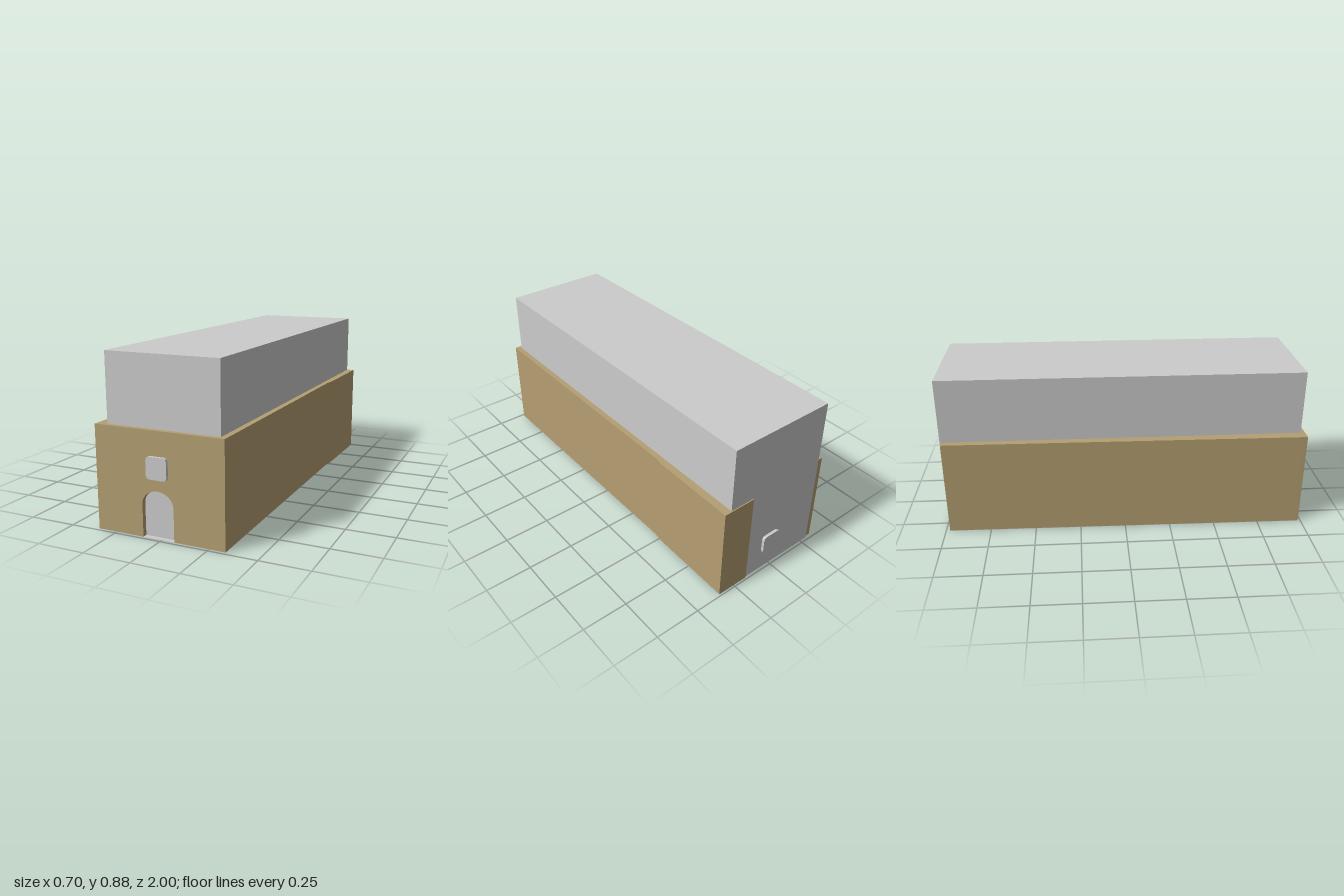
import * as THREE from 'three';

const grey = new THREE.MeshStandardMaterial({ color: 0xcccccc, flatShading: true });
const tan = new THREE.MeshStandardMaterial({ color: 0xb59f72, flatShading: true });

function add(group, name, geometry, material) {
  const mesh = new THREE.Mesh(geometry, material);
  mesh.name = name;
  group.add(mesh);
  return mesh;
}

// Extrudes a plan outline given as [x, z] from y0 up to y1
function extrudePlan(points, y0, y1) {
  const shape = new THREE.Shape(points.map(([x, z]) => new THREE.Vector2(x, -z)));
  const geometry = new THREE.ExtrudeGeometry(shape, { depth: y1 - y0, bevelEnabled: false });
  return geometry.rotateX(-Math.PI / 2).translate(0, y0, 0);
}

// Thin window plate with cut corners
function windowPlate(x, y, z0, z1) {
  const h = 0.055, c = 0.037;
  const corners = [[c, -h], [h - 0.005, -h + 0.005], [h, -c], [h, c], [h - 0.005, h - 0.005], [c, h],
    [-c, h], [-h + 0.005, h - 0.005], [-h, c], [-h, -c], [-h + 0.005, -h + 0.005], [-c, -h]];
  const shape = new THREE.Shape(corners.map(([a, b]) => new THREE.Vector2(a, b)));
  return new THREE.ExtrudeGeometry(shape, { depth: z1 - z0, bevelEnabled: false }).translate(x, y, z0);
}

export function createModel() {
  const model = new THREE.Group();
  model.name = 'building';
  const wallTop = 0.53, base = 0.002;
  const left = 0.305, right = -0.295, front = 0.96, back = -0.985;

  // Main block
  const block = new THREE.BoxGeometry(left - right, 0.88 - base, front - back);
  block.translate((left + right) / 2, (0.88 + base) / 2, (front + back) / 2);
  add(model, 'mainBlock', block, grey);

  // Floor slab under the whole footprint
  add(model, 'floorSlab', extrudePlan([[-0.35, 0.985], [0.335, 0.985], [0.335, -0.46],
    [0.343, -0.52], [0.348, -0.99], [0.165, -0.99], [0.165, back], [right, back],
    [right, -0.978], [-0.33, -0.978]], 0, base), grey);

  // Side walls; the left one wraps around the rear corner
  add(model, 'rightWall', extrudePlan([[-0.35, front], [right, front], [right, -0.978],
    [-0.33, -0.978]], base, wallTop), tan);
  add(model, 'leftWall', extrudePlan([[left, front], [0.335, front], [0.335, -0.46],
    [0.343, -0.52], [0.348, -0.99], [0.165, -0.99], [0.165, back], [left, back]],
  base, wallTop), tan);

  // Front wall with an arched doorway
  const wall = new THREE.Shape();
  const doorX = -0.014, doorHalf = 0.084, spring = 0.165;
  wall.moveTo(-0.35, base);
  wall.lineTo(doorX - doorHalf, base);
  wall.lineTo(doorX - doorHalf, spring);
  wall.absellipse(doorX, spring, doorHalf, 0.074, Math.PI, 0, true);
  wall.lineTo(doorX + doorHalf, base);
  wall.lineTo(0.335, base);
  wall.lineTo(0.335, wallTop);
  wall.lineTo(-0.35, wallTop);
  const frontWall = new THREE.ExtrudeGeometry(wall, { depth: 0.025, bevelEnabled: false, curveSegments: 16 });
  add(model, 'frontWall', frontWall.translate(0, 0, front), tan);

  // Front and rear windows
  add(model, 'frontWindow', windowPlate(-0.01, 0.353, 0.984, 1), grey);
  add(model, 'rearWindow', windowPlate(0.01, 0.165, -1, -0.984), grey);
  return model;
}
